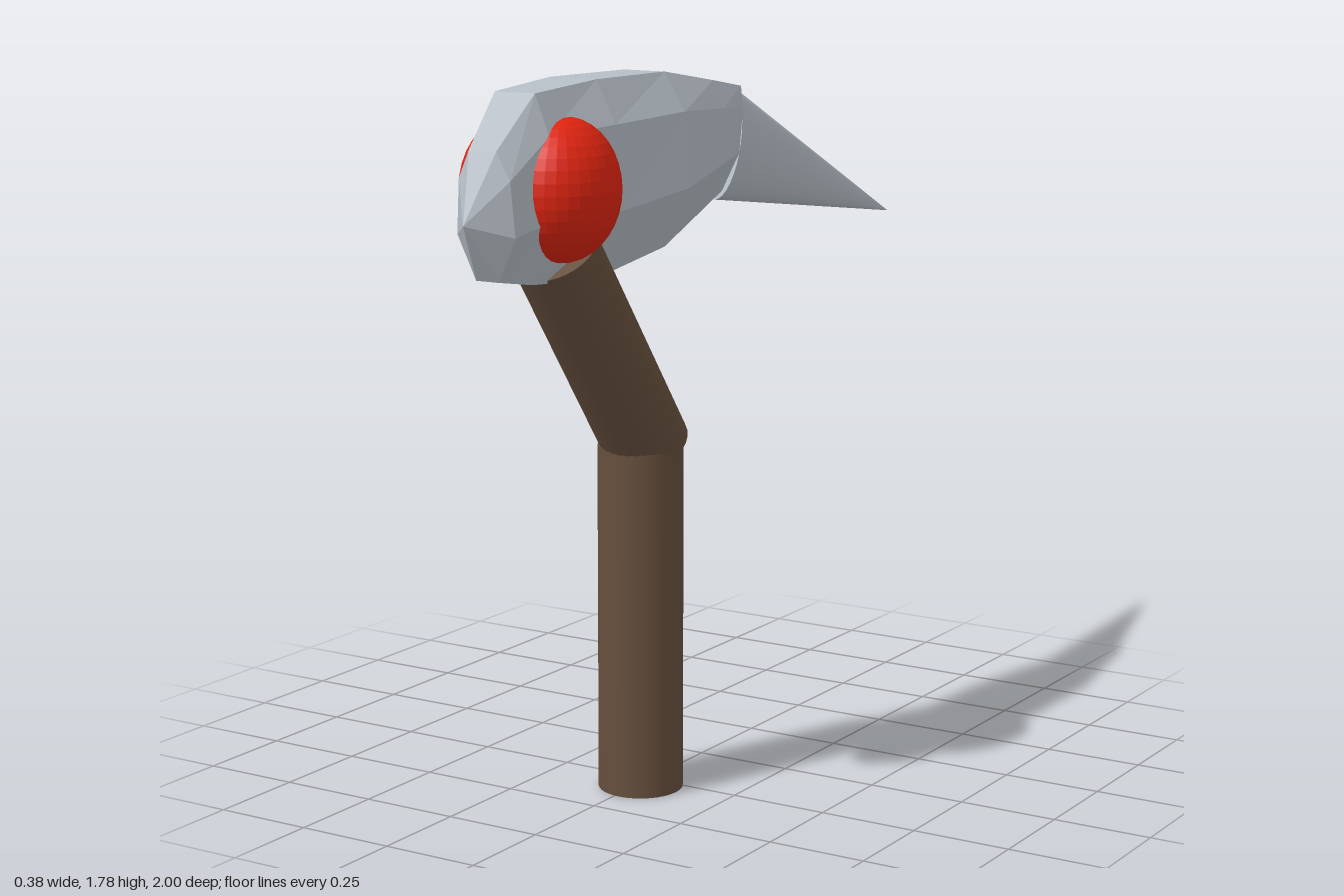
import * as THREE from 'three';

const material = (name, color, flatShading = false) => {
  const m = new THREE.MeshStandardMaterial({ color, flatShading });
  m.name = name;
  return m;
};

// Tapered round part running from one point to another
function rod(name, from, to, rFrom, rTo, mat, flatten = 1) {
  const a = new THREE.Vector3(...from), b = new THREE.Vector3(...to);
  const dir = b.clone().sub(a);
  const mesh = new THREE.Mesh(new THREE.CylinderGeometry(rTo, rFrom, dir.length(), 32), mat);
  mesh.name = name;
  mesh.scale.x = flatten;
  mesh.position.copy(a).add(b).multiplyScalar(0.5);
  mesh.quaternion.setFromUnitVectors(new THREE.Vector3(0, 1, 0), dir.normalize());
  return mesh;
}

// Eight-sided head section, counterclockwise seen from the front
function headRing([z, bottom, top, xMin, xMax, roofMin, roofMax, lean]) {
  const h = top - bottom;
  return [
    [xMax, 0.35], [xMax * 0.88, 0.78], [roofMax, 1], [roofMin, 1],
    [xMin * 0.88, 0.78], [xMin, 0.35], [xMin * 0.4, 0], [xMax * 0.4, 0],
  ].map(([x, t]) => [x, bottom + h * t, z + lean * (1 - t)]);
}

function headGeometry() {
  // z, bottom, top, side limits, roof limits, lean of the lower edge
  const rings = [
    [0.92, 1.345, 1.64, -0.08, 0.08, -0.04, 0.035, -0.01],
    [0.79, 1.325, 1.76, -0.1, 0.1, -0.06, 0.05, 0],
    [0.55, 1.31, 1.775, -0.12, 0.122, -0.075, 0.055, 0],
    [0.25, 1.35, 1.772, -0.103, 0.123, -0.065, 0.05, 0],
    [0.02, 1.43, 1.735, -0.07, 0.085, -0.045, 0.045, 0],
    [-0.13, 1.46, 1.71, -0.045, 0.055, -0.03, 0.035, 0.05],
  ].map(headRing);
  rings.unshift(Array(8).fill([0, 1.48, 1]));
  rings.push(Array(8).fill([0, 1.62, -0.15]));
  const pos = [];
  for (let i = 0; i < rings.length - 1; i++) {
    for (let j = 0; j < 8; j++) {
      const k = (j + 1) % 8, a = rings[i], b = rings[i + 1];
      if (i < rings.length - 2) pos.push(...a[j], ...b[j], ...b[k]);
      if (i > 0) pos.push(...a[j], ...b[k], ...a[k]);
    }
  }
  const g = new THREE.BufferGeometry();
  g.setAttribute('position', new THREE.Float32BufferAttribute(pos, 3));
  g.computeVertexNormals();
  return g;
}

export function createModel() {
  const group = new THREE.Group();
  group.name = 'birdHeadCane';
  const silver = material('silver', 0xb6bec6);
  const wood = material('wood', 0x664f3d);
  const red = material('red', 0xdf2410, true);

  // Bent wooden shaft
  group.add(
    rod('lowerShaft', [0.01, 0, 0.305], [0.022, 0.872, 0.318], 0.105, 0.105, wood),
    rod('upperShaft', [0.028, 0.868, 0.298], [0.01, 1.385, 0.66], 0.105, 0.105, wood),
  );

  // Faceted head
  const head = new THREE.Mesh(headGeometry(), silver);
  head.name = 'head';
  group.add(head);

  // Long flattened spike at the back
  group.add(rod('spike', [0.003, 1.57, -0.09], [-0.015, 1.3, -1], 0.146, 0.001, silver, 0.38));

  // Bulging eyes
  for (const side of [-1, 1]) {
    const eye = new THREE.Mesh(new THREE.SphereGeometry(1, 32, 18), red);
    eye.name = side > 0 ? 'leftEye' : 'rightEye';
    eye.scale.set(0.13, 0.168, 0.155);
    eye.position.set(side * 0.06, 1.535, 0.7);
    group.add(eye);
  }
  return group;
}
